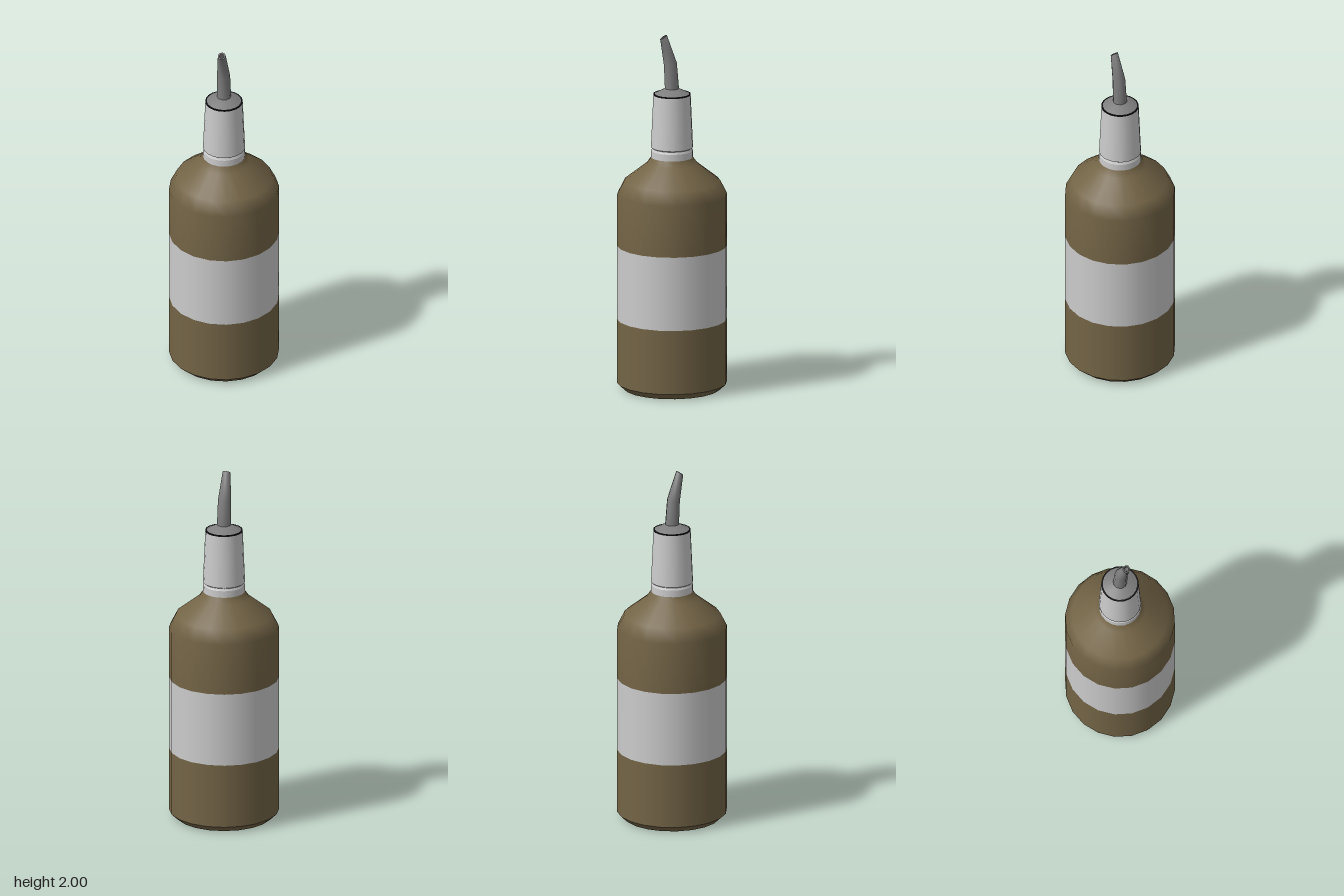
import * as THREE from 'three';

const SIDES = 20;
const mat = (color) => new THREE.MeshStandardMaterial({ color });

// Lathed part; a repeated profile point makes a sharp edge.
function turned(name, profile, material, sides = SIDES) {
  const geometry = new THREE.LatheGeometry(profile.map(([r, y]) => new THREE.Vector2(r, y)), sides);
  geometry.normalizeNormals();
  const mesh = new THREE.Mesh(geometry, material);
  mesh.name = name;
  return mesh;
}

// Bent hollow spout: each ring is [radius, y, z, tilt toward the front].
function bentSpout(rings, material, sides = 10) {
  const geometry = new THREE.LatheGeometry(rings.map(([r, y]) => new THREE.Vector2(r, y)), sides);
  const pos = geometry.attributes.position;
  const nor = geometry.attributes.normal;
  const axis = new THREE.Vector3(1, 0, 0);
  const v = new THREE.Vector3();
  for (let i = 0; i < pos.count; i++) {
    const [, y, z, tilt] = rings[i % rings.length];
    v.set(pos.getX(i), 0, pos.getZ(i)).applyAxisAngle(axis, tilt);
    pos.setXYZ(i, v.x, v.y + y, v.z + z);
    v.fromBufferAttribute(nor, i).applyAxisAngle(axis, tilt).normalize();
    nor.setXYZ(i, v.x, v.y, v.z);
  }
  const mesh = new THREE.Mesh(geometry, material);
  mesh.name = 'spout';
  return mesh;
}

export function createModel() {
  const group = new THREE.Group();
  group.name = 'pourBottle';
  const glass = mat(0x736446);
  const grey = mat(0xcccccc);
  const spoutGrey = mat(0x7f7f7f);
  const black = mat(0x111111);

  // Bottle body, split around the paper label
  group.add(
    turned('bottleBase', [
      [0, 0], [0.265, 0], [0.265, 0], [0.303, 0.035], [0.303, 0.035], [0.303, 0.395],
    ], glass),
    turned('label', [[0.303, 0.395], [0.303, 0.81]], grey),
    turned('bottleShoulder', [
      [0.303, 0.81], [0.303, 1.1], [0.265, 1.175], [0.14, 1.273], [0.118, 1.305], [0.1, 1.34],
    ], glass),
  );

  // Collar and tapered cap with a dark rim
  group.add(
    turned('collar', [
      [0.1, 1.305], [0.116, 1.305], [0.116, 1.305], [0.115, 1.347], [0.115, 1.347],
      [0.109, 1.357], [0.109, 1.362],
    ], grey),
    turned('cap', [
      [0.109, 1.36], [0.116, 1.365], [0.116, 1.365], [0.103, 1.66],
    ], grey),
    turned('capRim', [
      [0.103, 1.66], [0.103, 1.667], [0.103, 1.667], [0.094, 1.667],
    ], black),
  );

  // Cone seat under the spout
  group.add(turned('spoutSeat', [
    [0.095, 1.667], [0.036, 1.697], [0, 1.697],
  ], spoutGrey));

  // Spout with a slanted open tip and closed bore
  group.add(bentSpout([
    [0.039, 1.69, 0, 0],
    [0.036, 1.835, 0.009, 0.15],
    [0.022, 1.987, 0.047, 0.6],
    [0.022, 1.987, 0.047, 0.6],
    [0.014, 1.987, 0.047, 0.6],
    [0.014, 1.987, 0.047, 0.6],
    [0.014, 1.92, 0.03, 0.3],
    [0.014, 1.92, 0.03, 0.3],
    [0, 1.92, 0.03, 0.3],
  ], spoutGrey));

  return group;
}
